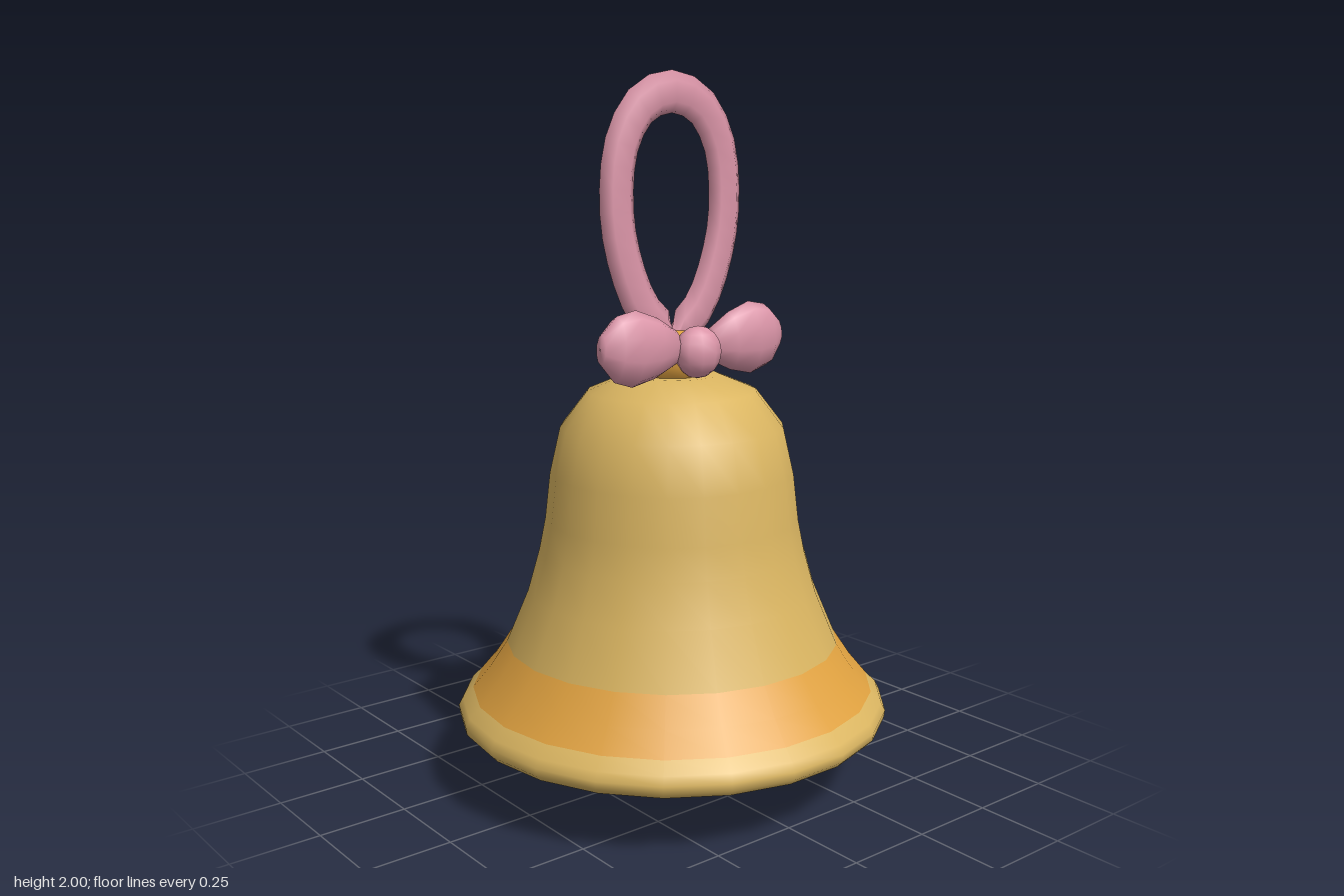
import * as THREE from 'three';
import { mergeVertices } from 'three/addons/utils/BufferGeometryUtils.js';

const mat = (name, color) => {
  const m = new THREE.MeshStandardMaterial({ color });
  m.name = name;
  return m;
};

// Surface of revolution; points run upward on the outside, downward on the inside
const lathe = (pts, sides) =>
  new THREE.LatheGeometry(pts.map(p => new THREE.Vector2(...p)), sides, Math.PI / 2);

// Teardrop loop with a flattened hexagonal section
function loopGeometry(halfWidth, halfDepth) {
  const half = [[0.1, 1.36], [0.17, 1.52], [0.189, 1.66], [0.168, 1.81], [0.1, 1.91]];
  const path = [[0, 1.27], ...half, [0, 1.944], ...half.map(([x, y]) => [-x, y]).reverse(), [0, 1.27]];
  const curve = new THREE.CatmullRomCurve3(path.map(([x, y]) => new THREE.Vector3(x, y, 0)));
  const sides = 6, steps = 28;
  const g = new THREE.TorusGeometry(1, 0.1, sides, steps);
  const pos = g.attributes.position;
  for (let j = 0; j <= sides; j++) {
    const v = (j / sides) * Math.PI * 2;
    for (let i = 0; i <= steps; i++) {
      const c = curve.getPointAt(i / steps), t = curve.getTangentAt(i / steps);
      // both ends share an upright joint at the tip
      const end = i === 0 || i === steps;
      const nx = end ? 0 : t.y, ny = end ? -1 : -t.x;
      const w = halfWidth * Math.cos(v) * (end ? 0.5 : 1);
      pos.setXYZ(j * (steps + 1) + i, c.x + nx * w, c.y + ny * w, halfDepth * Math.sin(v) / 0.866);
    }
  }
  g.deleteAttribute('uv');
  g.deleteAttribute('normal');
  const merged = mergeVertices(g, 1e-4);
  merged.computeVertexNormals();
  return merged;
}

export function createModel() {
  const model = new THREE.Group();
  model.name = 'bell';
  const gold = mat('gold', 0xdab561);
  const amber = mat('amber', 0xdfa140);
  const pink = mat('pink', 0xdb95a8);

  const add = (name, geometry, material, x = 0, y = 0, z = 0) => {
    const mesh = new THREE.Mesh(geometry, material);
    mesh.name = name;
    mesh.position.set(x, y, z);
    model.add(mesh);
    return mesh;
  };

  // Bell body, outside and inside
  const sides = 22;
  add('bellOuter', lathe([[0.475, 0.41], [0.412, 0.56], [0.378, 0.68], [0.36, 0.77], [0.345, 0.9],
    [0.315, 1.03], [0.238, 1.13], [0.13, 1.175], [0, 1.18]], sides), gold);
  add('bellInner', lathe([[0, 1.14], [0.12, 1.135], [0.215, 1.09], [0.285, 1.0], [0.315, 0.89],
    [0.33, 0.77], [0.38, 0.56], [0.44, 0.41]], sides), gold);

  // Coloured band above the lip
  add('bandOuter', lathe([[0.575, 0.275], [0.525, 0.335], [0.475, 0.41]], sides), amber);
  add('bandInner', lathe([[0.44, 0.41], [0.49, 0.335], [0.53, 0.27]], sides), amber);

  // Rounded lip
  add('lip', lathe([[0.53, 0.27], [0.547, 0.21], [0.568, 0.183], [0.598, 0.183], [0.614, 0.2],
    [0.617, 0.222], [0.605, 0.245], [0.575, 0.275]], sides), gold);

  // Clapper
  add('clapperBall', new THREE.SphereGeometry(0.137, 12, 8), amber, 0, 0.137, 0);
  add('clapperRod', new THREE.CylinderGeometry(0.028, 0.028, 0.92, 8), amber, 0, 0.69, 0);

  // Crown knob
  add('crownKnob', lathe([[0, 1.15], [0.095, 1.165], [0.117, 1.205], [0.115, 1.25],
    [0.095, 1.29], [0, 1.3]], 10), amber);

  // Hanging loop
  add('hangingLoop', loopGeometry(0.057, 0.022), pink);

  // Bow: two puffy lobes and a knot
  const lobe = lathe([[0, -0.125], [0.048, -0.125], [0.082, -0.06], [0.103, 0.015],
    [0.088, 0.075], [0.04, 0.122], [0, 0.125]], 10);
  for (const s of [1, -1]) {
    const mesh = add(s > 0 ? 'bowLobeLeft' : 'bowLobeRight', lobe, pink, s * 0.19, 1.27, 0.093);
    mesh.scale.set(1, 1, 0.54);
    mesh.rotation.z = -s * (Math.PI / 2 - 0.06);
  }
  add('bowKnot', new THREE.SphereGeometry(0.072, 10, 8), pink, 0, 1.248, 0.112).scale.z = 0.76;

  return model;
}
